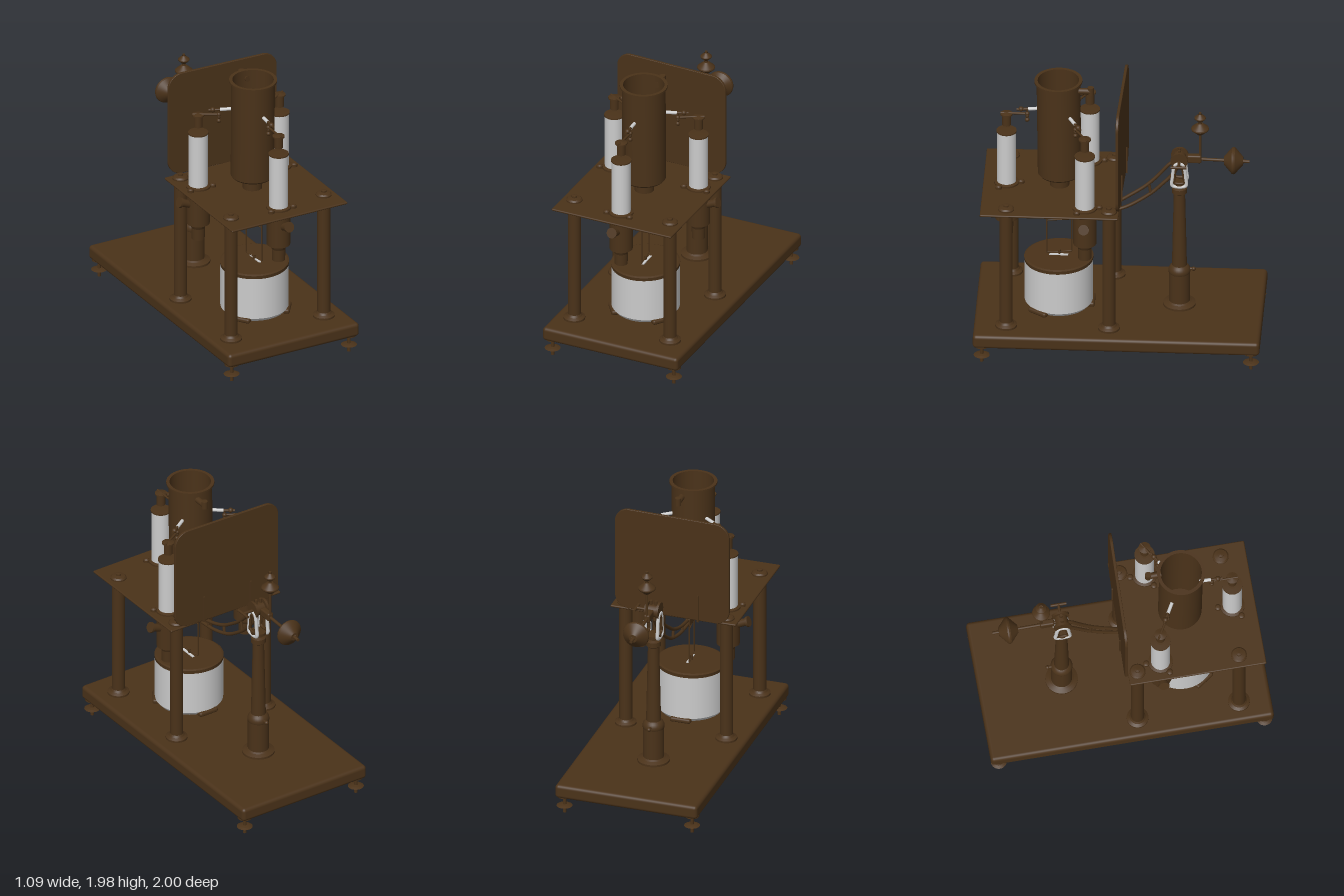
import * as THREE from 'three';
import { RoundedBoxGeometry } from 'three/addons/geometries/RoundedBoxGeometry.js';

const brown = new THREE.MeshStandardMaterial({ color: 0x4a3219, side: THREE.DoubleSide });
const grey = new THREE.MeshStandardMaterial({ color: 0xcccccc, side: THREE.DoubleSide });
const V = (x, y, z) => new THREE.Vector3(x, y, z);

function add(parent, name, geo, x = 0, y = 0, z = 0, mat = brown) {
  const m = new THREE.Mesh(geo, mat);
  m.name = name;
  m.position.set(x, y, z);
  parent.add(m);
  return m;
}
// Turned part; every profile corner is doubled so its edge stays sharp
function turned(parent, name, profile, x, y, z, mat = brown, seg = 40) {
  const pts = [];
  for (let i = 0; i < profile.length - 1; i++) {
    const a = new THREE.Vector2(...profile[i]), b = new THREE.Vector2(...profile[i + 1]);
    const g = new THREE.LatheGeometry([a, b], seg);
    pts.push(g);
  }
  const group = new THREE.Group();
  group.name = name;
  group.position.set(x, y, z);
  pts.forEach(g => add(group, name + 'Surface', g, 0, 0, 0, mat));
  parent.add(group);
  return group;
}
// Straight rod between two points
function rod(parent, name, a, b, r, mat = brown, r2 = r) {
  const d = b.clone().sub(a);
  const m = add(parent, name, new THREE.CylinderGeometry(r2, r, d.length(), 20), 0, 0, 0, mat);
  m.position.copy(a).add(b).multiplyScalar(0.5);
  m.quaternion.setFromUnitVectors(V(0, 1, 0), d.normalize());
  return m;
}
function tube(parent, name, pts, r, mat = brown, closed = false) {
  const curve = new THREE.CatmullRomCurve3(pts, closed, 'centripetal');
  add(parent, name, new THREE.TubeGeometry(curve, 60, r, 10, closed), 0, 0, 0, mat);
  return curve;
}

const CX = -0.01, CZ = 0.415; // axis of the main vessel

function buildStand(g) {
  add(g, 'baseSlab', new RoundedBoxGeometry(1.03, 0.1, 1.97, 4, 0.025), 0, 0.185, 0);
  for (const sx of [-1, 1]) for (const sz of [-1, 1]) {
    turned(g, 'levellingFoot', [[0, 0], [0.012, 0], [0.012, 0.042], [0.035, 0.045], [0.055, 0.051], [0.035, 0.058],
      [0.012, 0.062], [0.012, 0.118], [0.05, 0.122], [0.05, 0.137]], sx * 0.462, 0.01, sz * 0.925, brown, 24);
    turned(g, 'tablePost', [[0.075, 0], [0.075, 0.014], [0.055, 0.026], [0.045, 0.04], [0.045, 0.91],
      [0.055, 0.91], [0.055, 0.935], [0.045, 0.945], [0.018, 0.95], [0.018, 0.962], [0, 0.965]],
      CX + sx * 0.365, 0.235, 0.41 + sz * 0.353);
  }
  add(g, 'tableTop', new RoundedBoxGeometry(0.91, 0.016, 0.95, 3, 0.008), CX, 1.152, 0.465);
}

function buildDrum(g) {
  turned(g, 'drum', [[0, 0.005], [0.215, 0.005], [0.235, 0.03], [0.235, 0.345]], 0.003, 0.235, 0.42, grey, 64);
  const lid = turned(g, 'drumLid', [[0.236, -0.012], [0.238, 0.012], [0.225, 0.018], [0, 0.018]], 0.003, 0.588, 0.42, brown, 64);
  lid.rotation.set(0.022, 0, 0.022);
  add(g, 'lidStrip', new THREE.BoxGeometry(0.018, 0.006, 0.13), 0.01, 0.61, 0.42, grey);
  for (const a of [0.95, -0.95, Math.PI]) { // pads around the drum
    const p = add(g, 'drumPad', new RoundedBoxGeometry(0.15, 0.035, 0.05, 3, 0.015),
      0.003 + Math.sin(a) * 0.225, 0.25, 0.42 + Math.cos(a) * 0.225);
    p.rotation.y = a;
  }
}

function buildVessel(g) {
  const v = turned(g, 'mainVessel', [[0, 0], [0.14, 0], [0.15, 0.012], [0.15, 0.72], [0.165, 0.725], [0.165, 0.738],
    [0.142, 0.738], [0.142, 0.03], [0, 0.03]], CX, 1.25, CZ, brown, 56);
  v.rotation.x = 0.012;
  turned(g, 'vesselOutlet', [[0, 0], [0.067, 0], [0.067, 0.27]], CX, 0.985, CZ);
  // Inlet stub near the rim
  rod(g, 'inletStub', V(0.025, 1.925, 0.29), V(0.025, 1.925, 0.2), 0.022);
  rod(g, 'inletCap', V(0.025, 1.9, 0.2), V(0.025, 1.955, 0.2), 0.022);
  // Stirrup hanging below the outlet
  for (const s of [-1, 1]) rod(g, 'stirrupSide', V(CX + 0.01 + s * 0.012, 0.98, 0.417 + s * 0.086), V(CX + 0.01 + s * 0.012, 0.627, 0.417 + s * 0.086), 0.005);
  for (const y of [0.98, 0.88, 0.627]) rod(g, 'stirrupBar', V(CX - 0.002, y, 0.331), V(CX + 0.022, y, 0.503), 0.004);
  rod(g, 'stirrupPin', V(0, 0.6, 0.417), V(0, 0.64, 0.417), 0.01);
}

// One column assembly; local +z points away from the main vessel
function buildColumn(g, angle, knobAngle) {
  const c = new THREE.Group();
  c.name = 'columnAssembly';
  c.position.set(CX + Math.sin(angle) * 0.37, 0, CZ + Math.cos(angle) * 0.37 - 0.005);
  c.rotation.y = angle;
  g.add(c);
  turned(c, 'columnTube', [[0.066, 1.172], [0.066, 1.568]], 0, 0, 0, grey);
  turned(c, 'columnRim', [[0.066, 1.566], [0.07, 1.568], [0.07, 1.577], [0.03, 1.579], [0, 1.579]], 0, 0, 0);
  turned(c, 'columnSocket', [[0, 0.765], [0.045, 0.765], [0.047, 0.85], [0.058, 0.876], [0.08, 0.885], [0.08, 1.115],
    [0.095, 1.12], [0.095, 1.142]], 0, 0, 0);
  turned(c, 'columnCollar', [[0.085, 1.16], [0.085, 1.172], [0.066, 1.178]], 0, 0, 0);
  turned(c, 'valveBody', [[0, 1.62], [0.03, 1.62], [0.03, 1.698], [0.042, 1.702], [0.042, 1.712], [0, 1.722]], 0, 0, 0);
  // Arm and ball valve toward the vessel
  rod(c, 'valveArm', V(0, 1.713, 0.04), V(0, 1.713, -0.145), 0.008);
  rod(c, 'valveStem', V(0, 1.66, -0.142), V(0, 1.745, -0.142), 0.007);
  [[1.665, 0.016], [1.695, 0.013], [1.713, 0.016]].forEach(([y, r]) => add(c, 'valveBall', new THREE.SphereGeometry(r, 16, 12), 0, y, -0.142));
  rod(c, 'feedRod', V(0, 1.745, -0.07), V(0, 1.75, -0.16), 0.009);
  add(c, 'feedBall', new THREE.SphereGeometry(0.018, 16, 12), 0, 1.748, -0.1);
  rod(c, 'feedPipe', V(0, 1.75, -0.15), V(0, 1.757, -0.228), 0.012, grey);
  for (const a of [Math.PI, Math.PI / 3, -Math.PI / 3]) // flange screws
    turned(c, 'flangeScrew', [[0.022, 0], [0.022, 0.018], [0.012, 0.026], [0, 0.027]], Math.sin(a) * 0.1, 1.16, Math.cos(a) * 0.1, brown, 16);
  // Side nozzle, tilted upward
  const n = new THREE.Group();
  n.name = 'sideNozzle';
  n.position.set(0, 1.05, 0);
  n.rotation.set(0, knobAngle - angle, 0);
  c.add(n);
  rod(n, 'nozzlePipe', V(0, -0.015, 0.05), V(0, 0.022, 0.14), 0.027);
  rod(n, 'nozzleFlange', V(0, 0.019, 0.135), V(0, 0.025, 0.151), 0.037);
}

function buildBoard(g) {
  const w = 0.415, h = 0.378, r = 0.1, s = new THREE.Shape();
  s.moveTo(-w + r, -h);
  s.absarc(w - r, -h + r, r, -Math.PI / 2, 0);
  s.absarc(w - r, h - r, r, 0, Math.PI / 2);
  s.absarc(-w + r, h - r, r, Math.PI / 2, Math.PI);
  s.absarc(-w + r, -h + r, r, Math.PI, Math.PI * 1.5);
  add(g, 'backBoard', new THREE.ExtrudeGeometry(s, { depth: 0.012, bevelSize: 0.004, bevelThickness: 0.004, curveSegments: 12 }), -0.008, 1.54, -0.02);
  for (const x of [-0.2, 0.18]) add(g, 'boardBracket', new THREE.BoxGeometry(0.012, 0.2, 0.01), x, 1.25, -0.028);
}

function buildBalance(g) {
  const z = -0.408, x = -0.006;
  turned(g, 'pillar', [[0.112, 0.235], [0.112, 0.25], [0.085, 0.262], [0.073, 0.27], [0.073, 0.515], [0.052, 0.53], [0.039, 1.115],
    [0.052, 1.125], [0.052, 1.16], [0.03, 1.17], [0.03, 1.19], [0.055, 1.19], [0.055, 1.21], [0, 1.21]], x, 0, z);
  const ball = add(g, 'clampBall', new THREE.SphereGeometry(0.076, 28, 18), x, 0.505, z);
  ball.scale.y = 0.8;
  rod(g, 'clampScrew', V(x, 0.515, z - 0.05), V(x, 0.515, z - 0.1), 0.01);
  add(g, 'clampKnob', new THREE.SphereGeometry(0.015, 16, 12), x, 0.515, z - 0.098);
  // Forked bearing
  for (const s of [-1, 1]) {
    const loop = k => [[-0.045, 1.2], [0.045, 1.2], [0.045, 1.26], [0.022, 1.37], [-0.022, 1.37], [-0.045, 1.26]]
      .map(([dz, y]) => V(x + s * 0.045, 1.285 + (y - 1.285) * k, z + dz * k));
    tube(g, 'bearingFrame', loop(1), 0.013, grey, true);
    tube(g, 'bearingInner', loop(0.72), 0.01, brown, true);
    rod(g, 'bearingDisc', V(x + s * 0.034, 1.395, z), V(x + s * 0.05, 1.395, z), 0.06);
    rod(g, 'bearingPin', V(x + s * 0.018, 1.43, z), V(x + s * 0.018, 1.465, z), 0.01);
  }
  rod(g, 'pivotHub', V(x - 0.03, 1.39, z), V(x + 0.03, 1.39, z), 0.045);
  rod(g, 'pivotScrew', V(x, 1.39, z), V(x + 0.13, 1.39, z), 0.01);
  rod(g, 'pivotHandle', V(x + 0.125, 1.39, z - 0.055), V(x + 0.125, 1.39, z + 0.055), 0.01);
  // Curved double arm with cross ties
  const path = p => p.map(([pz, py]) => V(x, py, pz));
  const up = tube(g, 'armUpper', path([[-0.39, 1.38], [-0.34, 1.345], [-0.26, 1.25], [-0.18, 1.17], [-0.07, 1.09], [0.01, 1.04], [0.16, 0.985], [0.38, 0.95]]), 0.012);
  const low = tube(g, 'armLower', path([[-0.39, 1.31], [-0.35, 1.25], [-0.285, 1.18], [-0.22, 1.115], [-0.07, 1.01], [0.01, 0.975], [0.16, 0.938], [0.38, 0.925]]), 0.012);
  for (const t of [0.01, 0.3, 0.58, 0.8]) rod(g, 'armTie', up.getPointAt(t), low.getPointAt(t), 0.01);
  add(g, 'armTip', new RoundedBoxGeometry(0.035, 0.06, 0.12, 3, 0.01), x, 0.942, 0.37);
  // Tail rod and adjustable weights
  add(g, 'tailBlock', new RoundedBoxGeometry(0.045, 0.06, 0.1, 3, 0.012), x, 1.395, -0.51);
  rod(g, 'tailRod', V(x, 1.395, z), V(x, 1.382, -0.89), 0.011);
  const bicone = (r, h) => [[0.012, -h], [r * 0.3, -h], [r * 0.96, -h * 0.16], [r, 0], [r * 0.96, h * 0.16], [r * 0.3, h], [0.012, h]];
  turned(g, 'tailWeight', bicone(0.095, 0.066), x, 1.386, -0.78).rotation.x = Math.PI / 2;
  rod(g, 'upperRod', V(x, 1.39, -0.55), V(x, 1.76, -0.55), 0.009);
  turned(g, 'middleWeight', bicone(0.062, 0.043), x, 1.633, -0.55);
  turned(g, 'topWeight', bicone(0.04, 0.03), x, 1.718, -0.55);
}

export function createModel() {
  const model = new THREE.Group();
  model.name = 'laboratoryBalanceApparatus';
  const g = new THREE.Group(); // whole stand sits slightly turned
  g.name = 'apparatus';
  g.rotation.y = 0.032;
  model.add(g);
  buildStand(g);
  buildDrum(g);
  buildVessel(g);
  const third = Math.PI * 2 / 3;
  buildColumn(g, 0, 0);
  buildColumn(g, third, Math.PI / 2);
  buildColumn(g, -third, -Math.PI / 2);
  buildBalance(g);
  buildBoard(model);
  return model;
}
